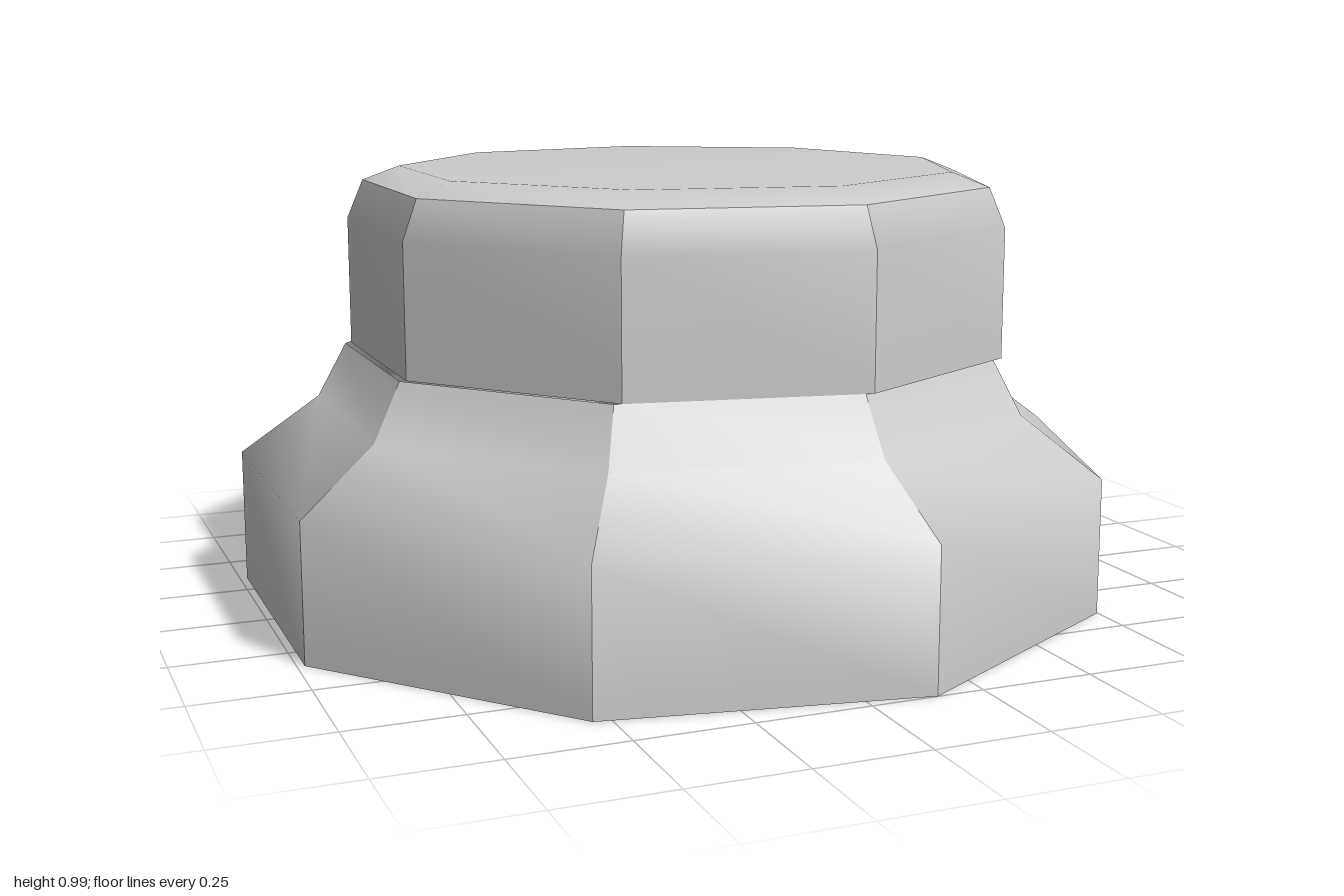
import * as THREE from 'three';
import { mergeGeometries } from 'three/addons/utils/BufferGeometryUtils.js';

const SIDES = 9;
const STEP = (Math.PI * 2) / SIDES;
const START = Math.PI / 2; // a corner points to +x

const toPoints = (profile) => profile.map(([r, y]) => new THREE.Vector2(r, y));

// Nine-sided wall: sharp vertical corners, smooth along the profile
function facetedWall(profile) {
  const facets = [];
  for (let i = 0; i < SIDES; i++) {
    const facet = new THREE.LatheGeometry(toPoints(profile), 1, START + i * STEP, STEP);
    facet.computeVertexNormals();
    facets.push(facet);
  }
  return mergeGeometries(facets);
}

export function createModel() {
  const group = new THREE.Group();
  group.name = 'knob';
  const material = new THREE.MeshStandardMaterial({ color: 0xcccccc, side: THREE.DoubleSide });

  const add = (name, geometry, x) => {
    const mesh = new THREE.Mesh(geometry, material);
    mesh.name = name;
    mesh.position.x = x;
    group.add(mesh);
  };

  // Flared skirt, an open shell
  add('skirt', facetedWall([[1.015, 0], [1.015, 0.31], [0.83, 0.445], [0.763, 0.57]]), -0.03);

  // Grip wall, slightly offset from the skirt and open below
  add('gripWall', facetedWall([[0.767, 0.57], [0.767, 0.865], [0.73, 0.953]]), -0.012);

  // Softly bevelled top
  const top = toPoints([[0.73, 0.953], [0.645, 0.985], [0, 0.985]]);
  add('topCap', new THREE.LatheGeometry(top, SIDES, START), -0.012);

  return group;
}
